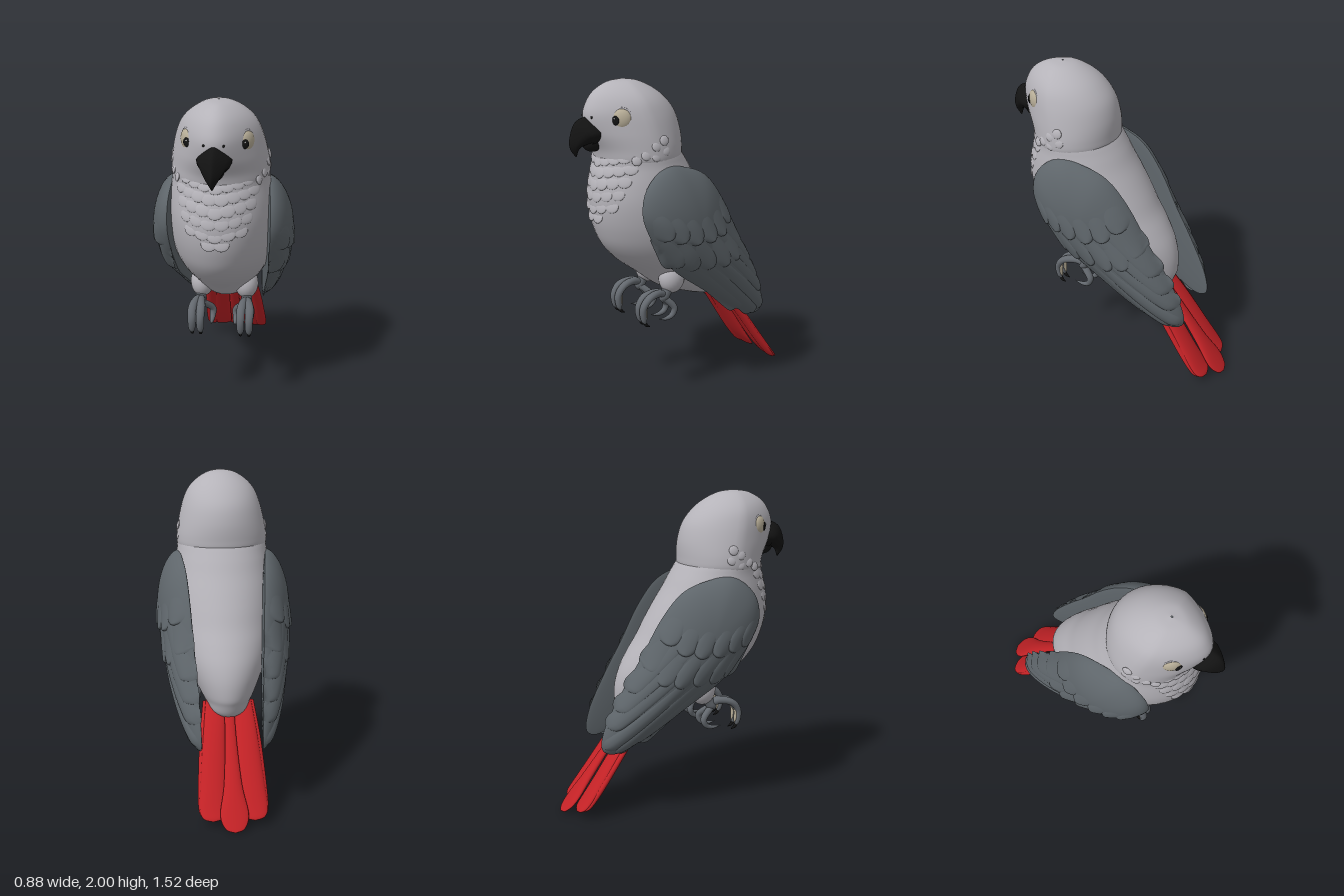
import * as THREE from 'three';

const mat = (name, color, side = THREE.FrontSide) => {
  const m = new THREE.MeshStandardMaterial({ color, side });
  m.name = name;
  return m;
};

// Skin a grid of rows; optionally wrapped around each row
function skin(rows, wrap) {
  const n = rows[0].length, index = [];
  for (let i = 0; i < rows.length - 1; i++)
    for (let j = 0; j < (wrap ? n : n - 1); j++) {
      const k = (j + 1) % n, a = i * n + j, b = i * n + k, c = a + n, d = b + n;
      index.push(a, b, d, a, d, c);
    }
  const g = new THREE.BufferGeometry();
  g.setAttribute('position', new THREE.Float32BufferAttribute(rows.flat(2), 3));
  g.setIndex(index);
  g.computeVertexNormals();
  return g;
}

// Loft of ellipses; stations are [z, y, halfWidth, halfThickness, x]
// egg(t) narrows the underside or front of a ring, peak narrows its top
function loft(st, { n = 32, sides = 24, level = false, egg = () => 0, peak = 0 } = {}) {
  const A = new THREE.CatmullRomCurve3(st.map(s => new THREE.Vector3(s[0], s[1], s[2])), false, 'catmullrom');
  const B = new THREE.CatmullRomCurve3(st.map(s => new THREE.Vector3(s[3], s[4] || 0, 0)), false, 'catmullrom');
  const rows = [];
  for (let i = 0; i <= n; i++) {
    const p = A.getPoint(i / n), q = B.getPoint(i / n), t = A.getTangent(i / n);
    const l = Math.hypot(t.x, t.y) || 1;
    const tz = level ? 0 : t.x / l, ty = level ? 1 : t.y / l;
    const w = Math.max(p.z, 0.001), h = Math.max(q.x, 0.001), row = [];
    for (let j = 0; j < sides; j++) {
      const a = j / sides * Math.PI * 2, c = Math.cos(a), s = Math.sin(a);
      const narrow = 1 - egg(i / n) * Math.max(0, -s) - peak * Math.max(0, s);
      row.push([q.y + w * c * narrow, p.y + h * s * tz, p.x - h * s * ty]);
    }
    rows.push(row);
  }
  return skin(rows, true);
}

// [y, front z, back z, half width]
const BODY = [
  [0.55, -0.25, -0.31, 0.02], [0.59, -0.08, -0.35, 0.11], [0.65, 0.1, -0.375, 0.15], [0.7, 0.2, -0.39, 0.18],
  [0.8, 0.33, -0.385, 0.23], [0.9, 0.46, -0.355, 0.275], [1.0, 0.545, -0.3, 0.305], [1.1, 0.59, -0.235, 0.32],
  [1.2, 0.615, -0.18, 0.325], [1.3, 0.622, -0.12, 0.322], [1.4, 0.608, -0.055, 0.31], [1.5, 0.582, 0.005, 0.293],
  [1.6, 0.565, 0.08, 0.27], [1.66, 0.5, 0.2, 0.15]];
const HEAD = [
  [1.47, 0.55, 0.12, 0.24], [1.53, 0.572, 0.05, 0.285], [1.6, 0.59, 0.04, 0.29], [1.7, 0.638, 0.045, 0.275],
  [1.8, 0.658, 0.075, 0.25], [1.88, 0.632, 0.135, 0.215], [1.94, 0.583, 0.21, 0.16], [1.985, 0.5, 0.305, 0.085],
  [2.0, 0.405, 0.395, 0.004]];
const toStations = list => list.map(([y, f, b, w]) => [(f + b) / 2, y, w, (f - b) / 2]);

// Point just under the body front at height y and angle a from straight ahead
function chestPoint(y, a) {
  const i = Math.max(0, BODY.findIndex(s => s[0] > y) - 1), p = BODY[i], q = BODY[i + 1];
  const [, f, b, w] = p.map((v, k) => v + (q[k] - v) * (y - p[0]) / (q[0] - p[0]));
  return [(w * (1 - 0.08 * Math.cos(a)) - 0.005) * Math.sin(a), y, (f + b) / 2 + ((f - b) / 2 - 0.005) * Math.cos(a)];
}

// Wing outline as (z, y), and a domed surface over it
const CENTER = [0.1, 1.13];
const OUTLINE = new THREE.CatmullRomCurve3([
  [0.285, 1.5], [0.425, 1.39], [0.457, 1.24], [0.4, 1.09], [0.32, 0.97], [0.22, 0.85], [0.03, 0.71], [-0.31, 0.48],
  [-0.47, 0.415], [-0.53, 0.45], [-0.515, 0.58], [-0.39, 0.84], [-0.285, 1.02], [-0.155, 1.26], [-0.02, 1.42], [0.14, 1.485],
].map(([z, y]) => new THREE.Vector3(z, y, 0)), true).getPoints(64).slice(0, 64).map(p => [p.x - CENTER[0], p.y - CENTER[1]]);
const wingBase = z => 0.25 + 0.12 * z;
const dome = s => 0.162 * Math.pow(Math.max(0, 1 - s * s), 0.6);
function wingX(z, y) {
  const dz = z - CENTER[0], dy = y - CENTER[1];
  let s = 0;
  OUTLINE.forEach((p, i) => {
    const q = OUTLINE[(i + 1) % 64], det = p[0] * q[1] - p[1] * q[0];
    const u = (dz * q[1] - dy * q[0]) / det, v = (p[0] * dy - p[1] * dz) / det;
    if (u >= -1e-6 && v >= -1e-6) s = Math.max(s, u + v);
  });
  return wingBase(z) + dome(s);
}
function wingShell(sign) {
  const rows = [];
  for (let i = 0; i <= 24; i++) {
    const s = Math.sin(Math.max(i / 24, 0.001) * Math.PI / 2);
    rows.push(OUTLINE.map(([dz, dy]) => {
      const z = CENTER[0] + dz * s, bulge = sign > 0 ? dome(s) : -0.12 * dome(s);
      return [wingBase(z) + bulge, CENTER[1] + dy * s, z];
    }));
  }
  return skin(sign > 0 ? rows.reverse() : rows, true);
}
// Rounded feather laid on the wing surface
function wingFeather(az, ay, bz, by, w, lift) {
  const len = Math.hypot(bz - az, by - ay), nz = -(by - ay) / len, ny = (bz - az) / len, rows = [];
  for (let i = 0; i <= 18; i++) {
    const u = Math.sin(i / 18 * Math.PI / 2), row = [];
    const k = 1 - Math.min(0.35, w / len * 1.3);
    const wide = w * (u < k ? 0.6 + 0.4 * u / k : Math.sqrt(Math.max(0, 1 - ((u - k) / (1 - k)) ** 2)));
    for (let j = 0; j <= 10; j++) {
      const v = j / 5 - 1, z = az + (bz - az) * u + nz * v * wide, y = ay + (by - ay) * u + ny * v * wide;
      const rise = lift * u * (1 - v ** 4) * Math.min(1, (1 - u) * 25) + 0.006 * u * (1 - Math.abs(v)) - 0.003;
      row.push([wingX(z, y) + rise, y, z]);
    }
    rows.push(row);
  }
  return skin(rows, false);
}

export function createModel() {
  const root = new THREE.Group();
  root.name = 'parrot';
  const M = {
    plumage: mat('pale grey plumage', 0xb5b3b9), wing: mat('dark grey wing', 0x5e656a, THREE.DoubleSide),
    tail: mat('red tail', 0xc42226), beak: mat('black beak', 0x131313),
    iris: mat('cream iris', 0xb8ae98), foot: mat('grey foot', 0x63686e), glint: mat('white glint', 0xf0f0f0),
  };
  const add = (parent, name, geo, material, pos = [0, 0, 0], scale = [1, 1, 1], rot = [0, 0, 0]) => {
    const m = new THREE.Mesh(geo, material);
    m.name = name;
    m.position.set(...pos);
    m.scale.set(...scale);
    m.rotation.set(...rot, 'YXZ');
    parent.add(m);
  };
  const ball = new THREE.SphereGeometry(1, 24, 16);

  // Body and overlapping head, whose face narrows toward the beak
  add(root, 'body', loft(toStations(BODY), { n: 60, sides: 48, level: true, egg: () => 0.08 }), M.plumage);
  add(root, 'head', loft(toStations(HEAD), {
    n: 56, sides: 48, level: true, egg: t => 0.08 + 0.24 * THREE.MathUtils.smoothstep(t, 0.15, 0.5),
  }), M.plumage);

  // Scalloped chest feathers with raised lower edges, narrowing downward
  [[1.53, 7], [1.46, 8], [1.39, 7], [1.32, 6], [1.25, 5], [1.19, 2]].forEach(([y, count]) => {
    for (let i = 0; i < count; i++) {
      const a = (i - (count - 1) / 2) * 0.25, p = chestPoint(y + 0.05 * Math.abs(a), a);
      add(root, 'chestFeather', ball, M.plumage, p, [0.047, 0.04, 0.009], [-0.22 - Math.max(0, y - 1.3) * 0.8, a, 0]);
    }
  });

  // Hooked beak with a narrow ridge
  add(root, 'upperBeak', loft([[0.57, 1.705, 0.09, 0.07], [0.615, 1.71, 0.1, 0.08], [0.665, 1.703, 0.09, 0.084],
    [0.708, 1.663, 0.06, 0.056], [0.727, 1.62, 0.034, 0.032], [0.72, 1.565, 0.003, 0.003]], { peak: 0.55 }), M.beak);
  add(root, 'lowerBeak', ball, M.beak, [0, 1.64, 0.61], [0.055, 0.055, 0.065]);

  // Red tail feathers; each station is offset sideways toward the tip
  add(root, 'middleTailFeather', loft([[-0.24, 0.68, 0.03, 0.012], [-0.4, 0.465, 0.035, 0.018], [-0.57, 0.23, 0.055, 0.024],
    [-0.68, 0.085, 0.086, 0.02], [-0.74, 0.02, 0.058, 0.01], [-0.76, 0.004, 0.003, 0.003]]), M.tail);
  for (const s of [1, -1]) {
    add(root, 'innerTailFeather', loft([[-0.22, 0.66, 0.06, 0.015, s * 0.08], [-0.375, 0.455, 0.07, 0.027, s * 0.1],
      [-0.535, 0.22, 0.08, 0.03, s * 0.117], [-0.625, 0.1, 0.083, 0.022, s * 0.124], [-0.67, 0.056, 0.06, 0.012, s * 0.126],
      [-0.687, 0.043, 0.003, 0.003, s * 0.126]]), M.tail);
    add(root, 'outerTailFeather', loft([[-0.22, 0.64, 0.04, 0.012, s * 0.12], [-0.365, 0.445, 0.04, 0.02, s * 0.15],
      [-0.525, 0.215, 0.04, 0.022, s * 0.17], [-0.61, 0.1, 0.036, 0.018, s * 0.177], [-0.645, 0.065, 0.025, 0.01, s * 0.174],
      [-0.66, 0.053, 0.003, 0.003, s * 0.168]]), M.tail);
  }

  for (const s of [1, -1]) {
    const side = new THREE.Group();
    side.name = s > 0 ? 'leftSide' : 'rightSide';
    side.scale.x = s;
    root.add(side);

    // Eye, lid ring, pupil and nostril
    const turn = [0, 0.93, 0];
    add(side, 'iris', ball, M.iris, [0.163, 1.788, 0.503], [0.062, 0.064, 0.034], turn);
    add(side, 'eyelid', new THREE.TorusGeometry(0.061, 0.006, 10, 32), M.plumage, [0.167, 1.788, 0.506], [1, 1.05, 1], turn);
    add(side, 'pupil', ball, M.beak, [0.163, 1.783, 0.545], [0.024, 0.027, 0.01], [0, 0.45, 0]);
    add(side, 'eyeGlint', ball, M.glint, [0.164, 1.795, 0.553], [0.005, 0.005, 0.004]);
    add(side, 'nostril', ball, M.beak, [0.055, 1.795, 0.64], [0.008, 0.008, 0.008]);

    // Cheek feathers
    [[1.6, 0.28], [1.57, 0.34], [1.63, 0.34], [1.58, 0.4], [1.66, 0.29], [1.55, 0.45]].forEach(([y, z]) =>
      add(side, 'cheekFeather', ball, M.plumage, [0.281 - Math.max(0, z - 0.3) ** 2 * 2, y, z],
        [0.03, 0.03, 0.01], [-0.25, 1.6 - Math.max(0, z - 0.3) * 3, 0]));

    // Folded wing with three feather rows
    const wing = new THREE.Group();
    wing.name = 'wing';
    side.add(wing);
    add(wing, 'wingOuter', wingShell(1), M.wing);
    add(wing, 'wingInner', wingShell(-1), M.wing);
    [[-0.31, 0.49], [-0.45, 0.43], [-0.52, 0.46], [-0.5, 0.6], [-0.45, 0.71], [-0.38, 0.83]].forEach(([z, y], i) =>
      add(wing, 'flightFeather', wingFeather(0.24 - i * 0.05, 0.95 + i * 0.05, z, y, 0.05, 0.009 + i * 0.002), M.wing));
    [[0.22, 0.88], [0.12, 0.86], [0.01, 0.86], [-0.11, 0.86], [-0.21, 0.88], [-0.27, 0.96]].forEach(([z, y]) =>
      add(wing, 'middleCovert', wingFeather(z + 0.15, y + 0.22, z, y, 0.065, 0.015), M.wing));
    [[0.32, 1.08], [0.23, 1.06], [0.13, 1.04], [0.02, 1.04], [-0.08, 1.06], [-0.16, 1.12]].forEach(([z, y]) =>
      add(wing, 'upperCovert', wingFeather(z + 0.09, y + 0.18, z, y, 0.062, 0.017), M.wing));

    // Thigh, shank and gripping toes with claws and pale soles
    add(side, 'thigh', ball, M.plumage, [0.14, 0.76, 0.15], [0.075, 0.1, 0.085]);
    add(side, 'shank', loft([[0.16, 0.73, 0.04, 0.04, 0.14], [0.19, 0.68, 0.034, 0.034, 0.145], [0.215, 0.64, 0.032, 0.032, 0.145],
      [0.22, 0.61, 0.005, 0.005, 0.145]], { n: 14, sides: 14 }), M.foot);
    for (const x of [0.125, 0.178]) {
      add(side, 'frontToe', loft([[0.18, 0.65, 0.02, 0.02, 0.145], [0.26, 0.68, 0.025, 0.024, (x + 0.145) / 2],
        [0.34, 0.664, 0.027, 0.022, x], [0.383, 0.605, 0.025, 0.021, x], [0.378, 0.535, 0.021, 0.018, x],
        [0.362, 0.505, 0.005, 0.005, x]], { n: 28, sides: 14 }), M.foot);
      add(side, 'toeSole', loft([[0.35, 0.625, 0.003, 0.003, x], [0.365, 0.595, 0.015, 0.009, x], [0.364, 0.55, 0.014, 0.009, x],
        [0.36, 0.525, 0.003, 0.003, x]], { n: 10, sides: 10 }), M.iris);
      add(side, 'frontClaw', loft([[0.372, 0.52, 0.011, 0.011, x], [0.36, 0.497, 0.01, 0.01, x],
        [0.335, 0.483, 0.002, 0.002, x]], { n: 10, sides: 10 }), M.beak);
    }
    for (const x of [0.075, 0.17]) {
      add(side, 'rearToe', loft([[0.23, 0.655, 0.02, 0.02, 0.145], [0.185, 0.615, 0.025, 0.022, (x + 0.145) / 2],
        [0.15, 0.57, 0.023, 0.021, x], [0.165, 0.525, 0.019, 0.017, x], [0.21, 0.508, 0.012, 0.012, x],
        [0.265, 0.515, 0.002, 0.002, x]], { n: 24, sides: 14 }), M.foot);
    }
  }
  return root;
}
